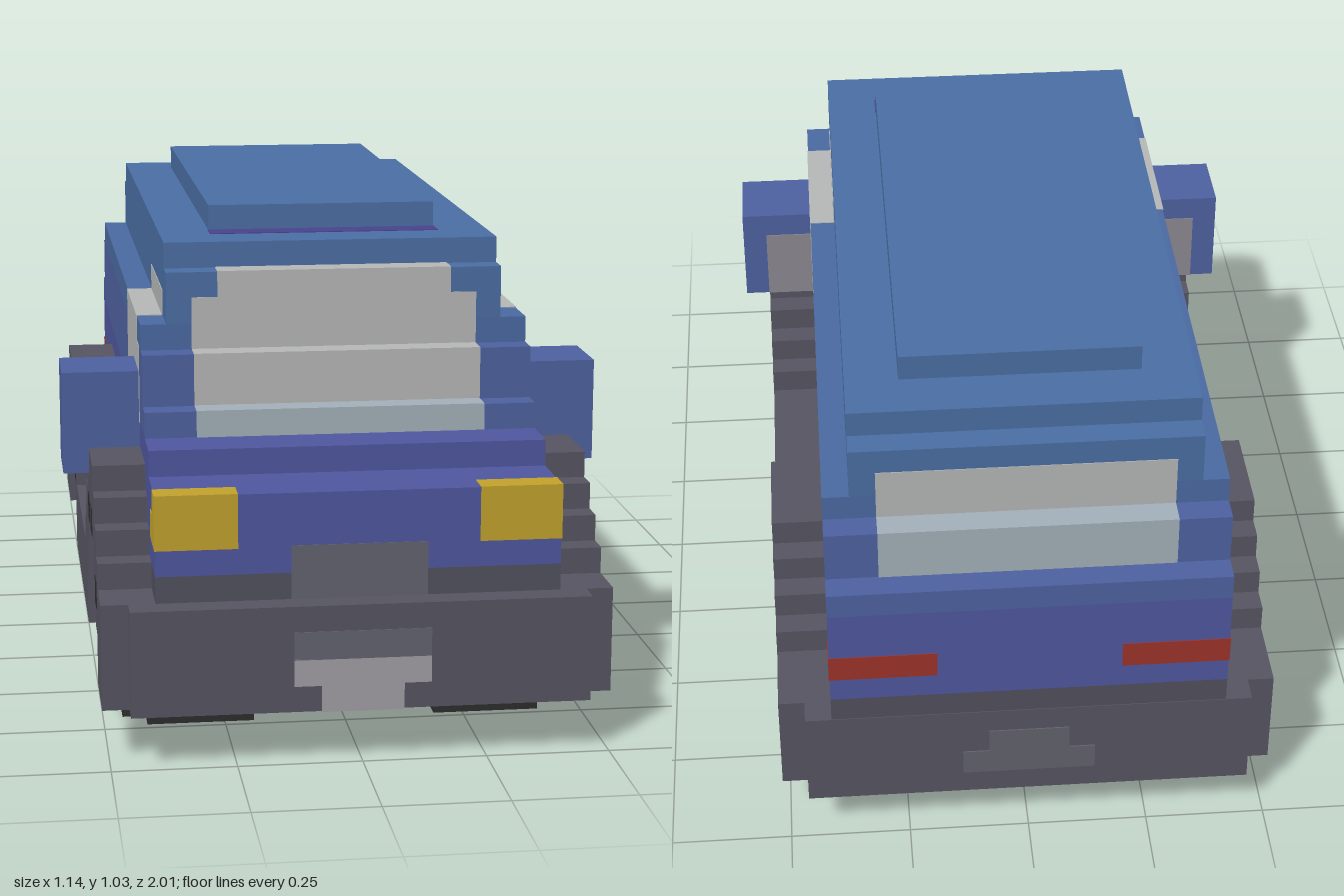
import * as THREE from 'three';

const U = 2 / 37; // size of one block; everything below is measured in blocks
const COLORS = {
  roof: 0x4c70a6, upper: 0x4c6ba4, mid: 0x4f63a2, lower: 0x5058a0, trim: 0x585663,
  sill: 0x53525f, tyre: 0x2e2e2f, glass: 0xb8bab9, glassLow: 0xa6b3bc, yellow: 0xc4a42e,
  red: 0xa0342c, hub: 0x858ca8, hubDark: 0x6a7188, hubCore: 0x4c4e5c, plate: 0xa5a2a8,
  grille: 0x656571, floor: 0x2c2b33, seam: 0x4a4390, mirror: 0x8f8a93, rearPlate: 0x64636e,
};
const mats = {};
const mat = (c) => (mats[c] ??= new THREE.MeshStandardMaterial({ color: COLORS[c], flatShading: true }));

export function createModel() {
  const van = new THREE.Group();
  van.name = 'van';

  // box from min/max block coordinates, optionally grown a little to sit proud
  function box(name, c, x0, x1, y0, y1, z0, z1, grow = 0, parent = van) {
    const geo = new THREE.BoxGeometry(x1 - x0 + 2 * grow, y1 - y0 + 2 * grow, z1 - z0 + 2 * grow);
    geo.translate((x0 + x1) / 2, (y0 + y1) / 2, (z0 + z1) / 2);
    const mesh = new THREE.Mesh(geo, mat(c));
    mesh.name = name;
    parent.add(mesh);
    return mesh;
  }
  const patch = (name, c, ...b) => box(name, c, ...b, 0.03);
  // same patch on both sides of the van
  const pair = (name, c, x0, x1, ...b) => {
    patch(name + 'Left', c, x0, x1, ...b);
    patch(name + 'Right', c, -x1, -x0, ...b);
  };

  // stepped body: half width, bottom, top, back, front
  [
    ['lowerBody', 'sill', 7.5, 2, 7, -18.5, 17.5],
    ['bodySide', 'lower', 7.5, 7, 10, -18.5, 17.5],
    ['bonnet', 'lower', 7.5, 10, 11, -18.5, 14.5],
    ['scuttle', 'mid', 7.5, 11, 12, -18.5, 12.5],
    ['lowerCabin', 'mid', 7.5, 12, 14, -17.5, 11.5],
    ['midCabin', 'upper', 7.5, 14, 15, -16.5, 10.5],
    ['upperCabin', 'roof', 6.5, 15, 17, -16.5, 10.5],
    ['roof', 'roof', 6.5, 17, 18, -15.5, 9.5],
    ['roofPanel', 'roof', 4.5, 18, 19, -13.5, 6.5],
  ].forEach(([n, c, w, y0, y1, z0, z1]) => box(n, c, -w, w, y0, y1, z0, z1));
  patch('roofSeam', 'seam', -4.5, 4.5, 17.5, 18, 6.5, 7.5);

  // windscreen and rear window follow the steps
  patch('windscreenTop', 'glass', -4.5, 4.5, 16, 17, 9.5, 10.5);
  patch('windscreenUpper', 'glass', -5.5, 5.5, 14, 16, 9.5, 10.5);
  patch('windscreenMiddle', 'glass', -5.5, 5.5, 12, 14, 10.5, 11.5);
  patch('windscreenLower', 'glassLow', -5.5, 5.5, 11, 12, 11.5, 12.5);
  patch('rearWindowUpper', 'glass', -5.5, 5.5, 14, 16, -16.5, -15.5);
  patch('rearWindowLower', 'glassLow', -5.5, 5.5, 12, 14, -17.5, -16.5);

  // side windows
  pair('sideWindowTop', 'glass', 5.5, 6.5, 15, 16, 2.5, 8.5);
  pair('sideWindow', 'glass', 6.5, 7.5, 11, 15, 2.5, 8.5);
  pair('quarterWindow', 'glass', 6.5, 7.5, 11, 14, 8.5, 9.5);

  // lights
  pair('headlightUpper', 'yellow', 4.5, 7.5, 9, 10, 16.5, 17.5);
  pair('headlight', 'yellow', 4.5, 7.5, 8, 9, 15.5, 17.5);
  pair('tailLight', 'red', 3.5, 7.5, 8, 9, -18.5, -17.5);

  // bumpers, grille and plates
  box('frontBumper', 'trim', -8.5, 8.5, 2, 6, 17.5, 18.5);
  box('rearBumper', 'trim', -8.5, 8.5, 2, 6, -18.53, -17.5);
  patch('grille', 'grille', -2.5, 2.5, 6, 8, 17, 17.5);
  patch('frontPlateRim', 'grille', -2.5, 2.5, 4, 5, 18, 18.5);
  patch('frontPlate', 'plate', -2.5, 2.5, 3, 4, 18, 18.5);
  patch('frontPlateBase', 'plate', -1.5, 1.5, 2, 3, 18, 18.5);
  patch('rearPlateTop', 'rearPlate', -1.5, 1.5, 4, 5, -18.55, -18);
  patch('rearPlate', 'rearPlate', -2.5, 2.5, 3, 4, -18.55, -18);
  box('floor', 'floor', -7.5, 7.5, 1.97, 2.1, -17.5, 17.5);

  // side skirt with stepped arches, outlined in (z, y)
  const front = 10.5, rear = -9.5;
  const opening = [[-4, 2], [-4, 4], [-3, 4], [-3, 6], [-2, 6], [-2, 7],
    [2, 7], [2, 6], [3, 6], [3, 4], [4, 4], [4, 2]];
  const arch = [[5, 6], [5, 7], [4, 7], [4, 8], [3, 8], [3, 9], [2, 9], [2, 10],
    [-2, 10], [-2, 9], [-3, 9], [-3, 8], [-4, 8], [-4, 7], [-5, 7], [-5, 6]];
  const at = (pts, c) => pts.map(([z, y]) => new THREE.Vector2(z + c, y));
  const v = (z, y) => new THREE.Vector2(z, y);
  const outline = new THREE.Shape([
    v(-17.5, 2), ...at(opening, rear), ...at(opening, front), v(17.5, 2), v(17.5, 6),
    ...at(arch, front), v(4.5, 6), v(4.5, 5), v(-4.5, 5), v(-4.5, 6),
    ...at(arch, rear), v(-17.5, 6),
  ]);
  for (const [side, x] of [['Left', 9.5], ['Right', -7.5]]) {
    const geo = new THREE.ExtrudeGeometry(outline, { depth: 2, bevelEnabled: false });
    geo.rotateY(-Math.PI / 2).translate(x, 0, 0);
    const skirt = new THREE.Mesh(geo, mat('trim'));
    skirt.name = 'skirt' + side;
    van.add(skirt);
  }

  // wheels: wide core, smaller outer and inner faces, hub blocks
  for (const [end, c] of [['front', front], ['rear', rear]]) {
    for (const [side, s] of [['Left', 1], ['Right', -1]]) {
      const wheel = new THREE.Group();
      wheel.name = end + 'Wheel' + side;
      van.add(wheel);
      const part = (n, col, x0, x1, y0, y1, a, b, grow = 0) =>
        box(n, col, Math.min(s * x0, s * x1), Math.max(s * x0, s * x1), y0, y1, c + a, c + b, grow, wheel);
      part('tyreCore', 'tyre', 3.5, 7.6, 1, 7, -4, 4);
      part('tyreTread', 'tyre', 3.5, 7.6, 0, 8, -3, 3);
      for (const x of [2.5, 7.5]) {
        part('tyreWall', 'tyre', x, x + 1, 1, 7, -3, 3);
        part('tyreWallEdge', 'tyre', x, x + 1, 0, 8, -2, 2);
      }
      part('hub', 'hub', 8, 8.5, 2, 6, -2, 2, 0.03);
      for (const [z, y] of [[-2, 3], [1, 4], [-1, 5], [0, 2]])
        part('hubShade', 'hubDark', 8, 8.5, y, y + 1, z, z + 1, 0.05);
      part('hubCap', 'hubCore', 8, 8.5, 3, 5, -1, 0, 0.06);
      // dark blocks around the arch opening
      for (const [z, y] of [[0, 7], [-2, 7], [3, 5]])
        part('archNotch', 'tyre', 9, 9.5, y, y + 1, z, z + 1, 0.02);
    }
  }

  // door mirrors
  for (const [side, a, b] of [['Left', 7.5, 10.5], ['Right', -10.5, -7.5]]) {
    box('mirror' + side, 'mid', a, b, 9, 13, 6.5, 9.5);
    const out = side === 'Left' ? [7.5, 9.5] : [-9.5, -7.5];
    box('mirrorGlass' + side, 'mirror', ...out, 9, 12, 6.46, 6.6);
  }

  van.scale.setScalar(U);
  return van;
}
